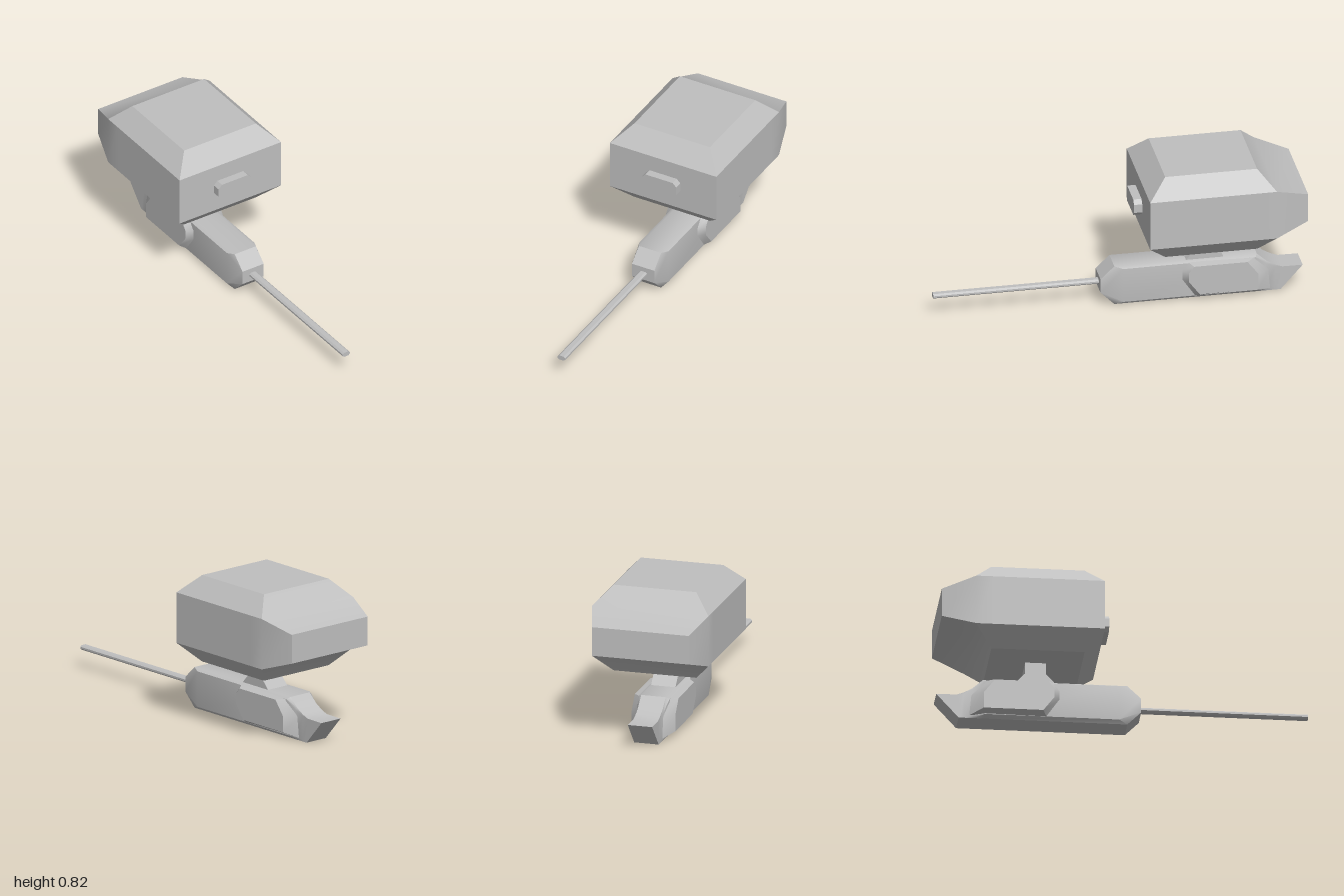
import * as THREE from 'three';
import { toCreasedNormals } from 'three/addons/utils/BufferGeometryUtils.js';

const grey = new THREE.MeshStandardMaterial({ color: 0xbfbfbf });
grey.name = 'plain grey';

// Skins matching loops of [x, y, z] points and caps both ends.
// Loops run counter-clockwise as seen from outside the first one.
function loft(name, loops, crease = 0.6) {
  const pos = [];
  const tri = (a, b, c) => {
    const [p, q, r] = [a, b, c].map((v) => new THREE.Vector3(...v));
    if (q.sub(p).cross(r.sub(p)).length() > 1e-7) pos.push(...a, ...b, ...c);
  };
  const n = loops[0].length;
  for (let i = 0; i < loops.length - 1; i++) {
    for (let j = 0; j < n; j++) {
      const k = (j + 1) % n;
      const a = loops[i][j], b = loops[i][k], c = loops[i + 1][k], d = loops[i + 1][j];
      tri(a, d, c);
      tri(a, c, b);
    }
  }
  const first = loops[0], last = loops[loops.length - 1];
  for (let j = 1; j < n - 1; j++) {
    tri(first[0], first[j], first[j + 1]);
    tri(last[0], last[j + 1], last[j]);
  }
  const geo = new THREE.BufferGeometry();
  geo.setAttribute('position', new THREE.Float32BufferAttribute(pos, 3));
  const mesh = new THREE.Mesh(toCreasedNormals(geo, crease), grey);
  mesh.name = name;
  return mesh;
}

// Closes a right-hand half section (listed bottom to top) with its mirror image.
const mirrorLoop = (half) => [...half, ...half.map(([x, y, z]) => [-x, y, z]).reverse()];

// Octagonal bar along z with clipped corners.
function bar(name, w, h, cx, cy, y, zFront, zBack) {
  const section = (z) => mirrorLoop([
    [w - cx, y - h, z], [w, y - h + cy, z], [w, y + h - cy, z], [w - cx, y + h, z],
  ]);
  return loft(name, [section(zFront), section(zBack)], 0.3);
}

export function createModel() {
  const model = new THREE.Group();
  model.name = 'device';

  // Large bevelled upper housing: z, flat half width, low y, high y, side half width, low y, high y
  const housing = [
    [-0.12, 0.325, 0.44, 0.72, 0.325, 0.44, 0.72],
    [-0.22, 0.23, 0.34, 0.82, 0.325, 0.44, 0.72],
    [-0.72, 0.23, 0.34, 0.82, 0.325, 0.44, 0.72],
    [-0.81, 0.325, 0.44, 0.72, 0.325, 0.44, 0.72],
    [-0.99, 0.27, 0.50, 0.66, 0.27, 0.50, 0.66],
  ].map(([z, fx, f0, f1, sx, s0, s1]) => mirrorLoop([
    [fx, f0, z], [sx, s0, z], [sx, s1, z], [fx, f1, z],
  ]));
  model.add(loft('upperHousing', housing));
  model.add(bar('frontStud', 0.105, 0.046, 0.022, 0.022, 0.579, -0.075, -0.125));

  // Neck flaring out onto the lower body
  const neck = [
    [0.35, -0.41, -0.523], [0.276, -0.41, -0.523], [0.215, -0.355, -0.578],
  ].map(([y, zf, zb]) => [
    [-0.068, y, zf], [0.068, y, zf], [0.068, y, zb], [-0.068, y, zb],
  ]);
  model.add(loft('neck', neck));

  // Lower body: half sections from the blunt nose to the upswept tail
  const body = [
    [[0.068, 0.075, 0.1], [0.068, 0.075, 0.1], [0.068, 0.155, 0.1], [0.068, 0.155, 0.1]],
    [[0.068, 0, 0.025], [0.088, 0.018, -0.02], [0.088, 0.215, -0.02], [0.068, 0.226, 0.025]],
    [[0.068, 0, -0.75], [0.088, 0.018, -0.74], [0.088, 0.215, -0.74], [0.068, 0.226, -0.75]],
    [[0.068, 0, -0.80], [0.074, 0.012, -0.80], [0.074, 0.165, -0.80], [0.068, 0.176, -0.805]],
    [[0.068, 0, -0.85], [0.068, 0.008, -0.85], [0.068, 0.14, -0.85], [0.068, 0.15, -0.85]],
    [[0.068, 0, -0.865], [0.068, 0.008, -0.87], [0.068, 0.13, -0.89], [0.068, 0.135, -0.89]],
    [[0.068, 0, -0.88], [0.068, 0.008, -0.887], [0.068, 0.126, -0.993], [0.068, 0.134, -1]],
  ].map(mirrorLoop);
  model.add(loft('lowerBody', body));

  // Bevelled cheek on each side of the body
  const cheekOuter = [
    [0.122, 0.04, -0.75], [0.122, 0.13, -0.75], [0.122, 0.208, -0.69], [0.122, 0.208, -0.40],
    [0.122, 0.17, -0.37], [0.122, 0.12, -0.37], [0.122, 0.04, -0.43],
  ];
  const cheekInner = [
    [0.066, 0.012, -0.83], [0.066, 0.13, -0.82], [0.07, 0.218, -0.75], [0.086, 0.218, -0.375],
    [0.086, 0.17, -0.34], [0.086, 0.12, -0.34], [0.086, 0.018, -0.41],
  ];
  const flip = (loop) => loop.map(([x, y, z]) => [-x, y, z]).reverse();
  model.add(loft('leftCheek', [cheekOuter, cheekInner]));
  model.add(loft('rightCheek', [flip(cheekOuter), flip(cheekInner)]));

  // Slender barrel
  model.add(bar('barrel', 0.023, 0.013, 0.01, 0.008, 0.115, 1, 0.09));

  return model;
}
